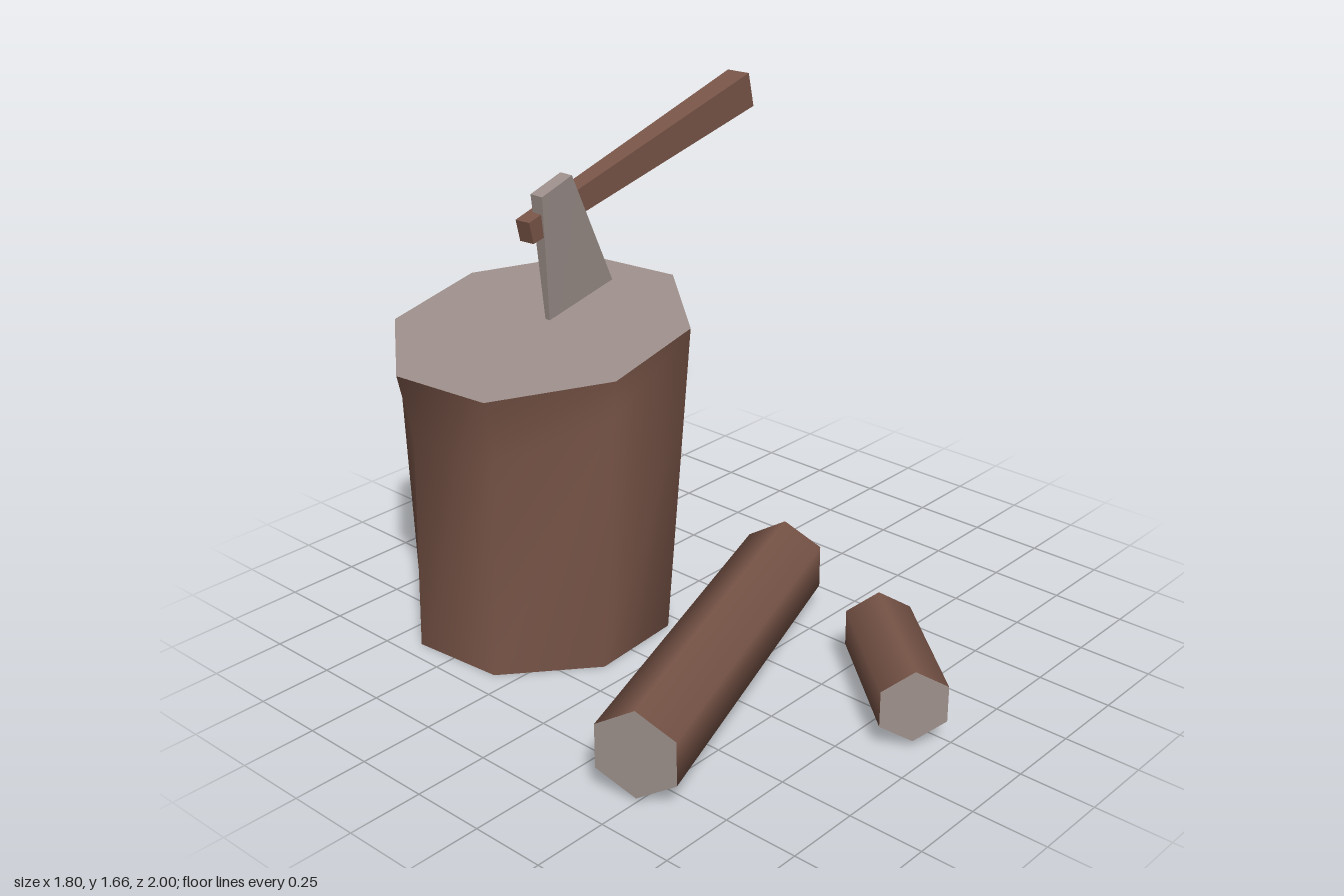
import * as THREE from 'three';

export function createModel() {
  const model = new THREE.Group();
  model.name = 'choppingBlock';

  const bark = new THREE.MeshStandardMaterial({ name: 'barkBrown', color: 0x795548 });
  const pale = new THREE.MeshStandardMaterial({ name: 'paleGrey', color: 0x9e918c });

  function add(parent, name, geometry, material) {
    const mesh = new THREE.Mesh(geometry, material);
    mesh.name = name;
    parent.add(mesh);
    return mesh;
  }

  function surface(points, index) {
    const g = new THREE.BufferGeometry();
    g.setAttribute('position', new THREE.Float32BufferAttribute(points.flat(), 3));
    g.setIndex(index);
    g.computeVertexNormals();
    return g;
  }

  // Stump: eight-sided, flared, with a slanted cut and a dent on its right side
  const stump = new THREE.Group();
  stump.name = 'stump';
  model.add(stump);
  const rim = [[-0.45, -0.97], [-0.08, -1], [0.22, -0.75], [0.255, -0.37],
    [0, -0.06], [-0.37, -0.03], [-0.675, -0.29], [-0.705, -0.66]];
  const dents = { 5: [-0.36, 0.88, -0.055], 6: [-0.635, 0.74, -0.3], 7: [-0.66, 0.74, -0.65] };
  const top = rim.map(([x, z]) => [x, 1.075 + 0.156 * x, z]);
  const base = rim.map(([x, z]) => [-0.255 + (x + 0.225) * 0.9, 0, -0.52 + (z + 0.515) * 0.88]);
  const waist = top.map((p, i) => dents[i] ?? p.map((v, k) => base[i][k] + (v - base[i][k]) * 0.75));
  const n = rim.length;
  const sides = [];
  for (let ring = 0; ring < 2; ring++) {
    for (let i = 0; i < n; i++) {
      const a = ring * n + i, b = ring * n + (i + 1) % n;
      sides.push(b, a, a + n, b, a + n, b + n);
    }
  }
  add(stump, 'stumpBark', surface([...base, ...waist, ...top], sides), bark);
  const fanUp = [], fanDown = [];
  for (let i = 1; i < n - 1; i++) {
    fanUp.push(0, i + 1, i);
    fanDown.push(0, i, i + 1);
  }
  add(stump, 'stumpCutTop', surface(top, fanUp), pale);
  add(stump, 'stumpBottom', surface(base, fanDown), bark);

  // Logs: smooth hexagonal cylinders lying down, with pale cut ends
  function log(name, [x0, z0], [x1, z1], y, radius) {
    const g = new THREE.CylinderGeometry(radius, radius, Math.hypot(x1 - x0, z1 - z0), 6, 1, false, Math.PI / 6);
    g.rotateZ(-Math.PI / 2);
    g.rotateY(Math.atan2(z0 - z1, x1 - x0));
    add(model, name, g, [bark, pale, pale]).position.set((x0 + x1) / 2, y, (z0 + z1) / 2);
  }
  log('longLog', [-0.855, 0.495], [0.343, 0.06], 0.157, 0.148);
  log('shortLog', [-0.1, 0.928], [0.218, 0.553], 0.143, 0.121);

  // Box whose corners are moved by a rule
  function shapedBox(rule) {
    const g = new THREE.BoxGeometry(1, 1, 1);
    const p = g.attributes.position;
    for (let i = 0; i < p.count; i++) p.setXYZ(i, ...rule(p.getX(i), p.getY(i), p.getZ(i)));
    g.computeVertexNormals();
    return g;
  }
  const mix = THREE.MathUtils.lerp;

  // Axe stuck in the stump
  const axe = new THREE.Group();
  axe.name = 'axe';
  model.add(axe);

  // Handle: widens towards its free end
  add(axe, 'axeHandle', shapedBox((x, y, z) => {
    const t = x + 0.5;
    const h = y * mix(0.073, 0.123, t), w = z * mix(0.056, 0.09, t);
    return [mix(-0.28, 0.88, t) - 0.22 * h + 0.09 * w, mix(1.365, 1.595, t) + h, mix(-0.508, -0.613, t) + w];
  }), bark);

  // Head: narrow thick top, wide thin cutting edge buried in the wood
  add(axe, 'axeHead', shapedBox((x, y, z) => {
    const t = 0.5 - y, s = x + 0.5;
    const px = mix(mix(-0.235, -0.09, s), mix(-0.185, 0.172, s), t);
    const py = mix(mix(1.475, 1.512, s), mix(0.98, 1.01, s), t);
    return [px, py, -0.53 - 0.09 * px + 0.012 * (1 - t) + z * mix(0.052, 0.015, t)];
  }), pale);

  return model;
}
